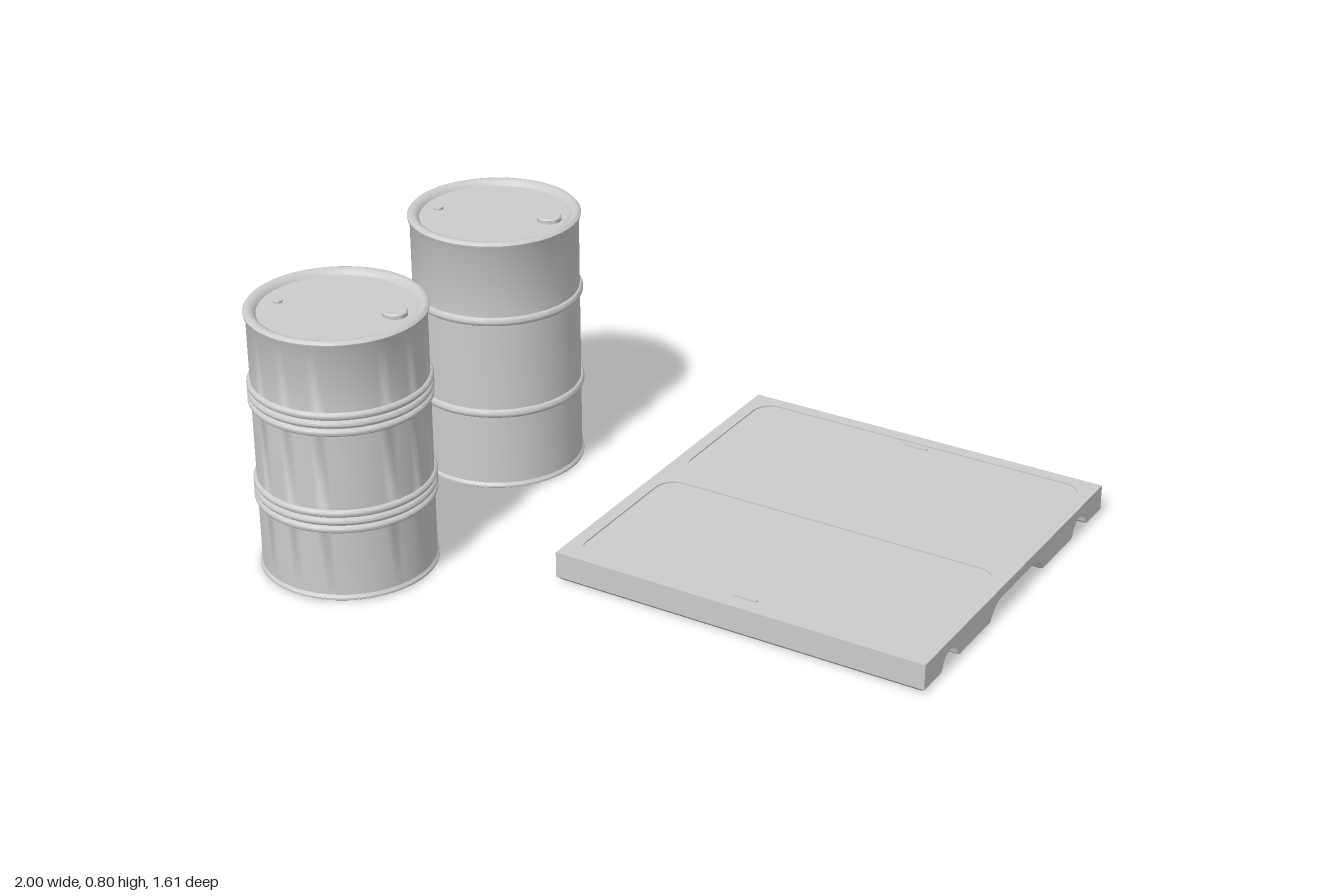
import * as THREE from 'three';
import { toCreasedNormals } from 'three/addons/utils/BufferGeometryUtils.js';

const material = new THREE.MeshStandardMaterial({ color: 0xcccccc, side: THREE.DoubleSide });
const DECK = { x: 0.42, z: -0.23, half: 0.58, top: 0.09 };

function add(parent, name, geometry, x = 0, y = 0, z = 0) {
  const mesh = new THREE.Mesh(toCreasedNormals(geometry, 0.6), material);
  mesh.name = name;
  mesh.position.set(x, y, z);
  parent.add(mesh);
  return mesh;
}

// Drum: one lathe profile from bottom centre to lid centre, ribs as half rounds
function createDrum(name, ribs, ribRadius, ribOut) {
  const drum = new THREE.Group();
  drum.name = name;
  const R = 0.25;
  const pts = [[0, 0.018], [0.222, 0.018], [0.228, 0.006], [0.236, 0], [0.25, 0],
    [0.256, 0.004], [0.256, 0.01], [R, 0.018]];
  for (const y of ribs) {
    for (let i = 0; i <= 8; i++) {
      const a = -Math.PI / 2 + (i / 8) * Math.PI;
      pts.push([R + Math.cos(a) * ribOut, y + Math.sin(a) * ribRadius]);
    }
  }
  pts.push([R, 0.775], [0.256, 0.785], [0.257, 0.792], [0.252, 0.798], [0.245, 0.8],
    [0.235, 0.798], [0.226, 0.792], [0.221, 0.784], [0, 0.784]);
  add(drum, 'drumShell', new THREE.LatheGeometry(pts.map(p => new THREE.Vector2(...p)), 64));

  // Filler cap and vent cap on the lid
  const cap = (r, h) => new THREE.LatheGeometry(
    [[r, 0], [r, h * 0.75], [r * 0.9, h], [0, h]].map(p => new THREE.Vector2(...p)), 32);
  add(drum, 'fillerCap', cap(0.036, 0.014), 0.162, 0.784, -0.05);
  add(drum, 'ventCap', cap(0.014, 0.008), -0.165, 0.784, 0.05);
  return drum;
}

function roundedRect(path, x0, y0, x1, y1, r) {
  path.moveTo(x0 + r, y0);
  path.lineTo(x1 - r, y0);
  path.absarc(x1 - r, y0 + r, r, -Math.PI / 2, 0);
  path.lineTo(x1, y1 - r);
  path.absarc(x1 - r, y1 - r, r, 0, Math.PI / 2);
  path.lineTo(x0 + r, y1);
  path.absarc(x0 + r, y1 - r, r, Math.PI / 2, Math.PI);
  path.lineTo(x0, y0 + r);
  path.absarc(x0 + r, y0 + r, r, Math.PI, Math.PI * 1.5);
  return path;
}

function createPallet() {
  const pallet = new THREE.Group();
  pallet.name = 'pallet';
  pallet.position.set(DECK.x, 0, DECK.z);
  const H = DECK.half, base = 0.012, floor = DECK.top - 0.004;

  // Body: side profile with two small arches and one wide arch, drawn along the width
  const s = new THREE.Shape();
  s.moveTo(-H, floor);
  s.lineTo(-H, base);
  const smallArch = c => {
    s.lineTo(c - 0.062, base);
    s.quadraticCurveTo(c - 0.05, base, c - 0.047, 0.024);
    s.absellipse(c, 0.022, 0.046, 0.036, Math.PI, 0, true);
    s.quadraticCurveTo(c + 0.05, base, c + 0.062, base);
  };
  smallArch(-0.425);
  s.lineTo(-0.175, base);
  s.bezierCurveTo(-0.16, 0.035, -0.14, 0.058, -0.1, 0.058);
  s.lineTo(0.1, 0.058);
  s.bezierCurveTo(0.14, 0.058, 0.16, 0.035, 0.175, base);
  smallArch(0.425);
  s.lineTo(H, base);
  s.lineTo(H, floor);
  const body = new THREE.ExtrudeGeometry(s, { depth: 2 * H, bevelEnabled: false, curveSegments: 14 });
  body.translate(0, 0, -H).rotateY(Math.PI / 2);
  add(pallet, 'palletBody', body);

  // Runners below the body, tapering to a smaller footprint
  for (const [z0, z1] of [[-H, -0.487], [-0.363, -0.175], [0.175, 0.363], [0.487, H]]) {
    const runner = new THREE.BoxGeometry(2 * H, base, z1 - z0);
    const p = runner.attributes.position;
    for (let i = 0; i < p.count; i++) {
      if (p.getY(i) > 0) continue;
      p.setX(i, p.getX(i) - Math.sign(p.getX(i)) * 0.016);
      p.setZ(i, p.getZ(i) - Math.sign(p.getZ(i)) * 0.012);
    }
    add(pallet, 'runner', runner, 0, base / 2, (z0 + z1) / 2);
  }

  // Raised deck border around two sunken rounded trays
  const border = new THREE.Shape([[-H, -H], [H, -H], [H, H], [-H, H]].map(p => new THREE.Vector2(...p)));
  border.holes.push(
    roundedRect(new THREE.Path(), -0.54, -0.54, 0.54, -0.04, 0.06),
    roundedRect(new THREE.Path(), -0.54, 0.04, 0.54, 0.54, 0.06));
  const rim = new THREE.ExtrudeGeometry(border, { depth: 0.004, bevelEnabled: false, curveSegments: 10 });
  add(pallet, 'deckBorder', rim.rotateX(-Math.PI / 2), 0, floor, 0);

  // Small tabs at the outer edge of each tray
  for (const side of [-1, 1]) {
    add(pallet, 'trayTab', new THREE.BoxGeometry(0.075, 0.004, 0.008), 0, floor + 0.002, side * 0.52);
  }
  return pallet;
}

export function createModel() {
  const model = new THREE.Group();
  model.name = 'drumsAndPallet';

  const front = createDrum('tripleRibDrum',
    [0.227, 0.252, 0.277, 0.527, 0.552, 0.577], 0.011, 0.01);
  front.position.set(-0.74, 0, 0.54);
  const back = createDrum('singleRibDrum', [0.25, 0.55], 0.013, 0.01);
  back.position.set(-0.74, 0, -0.23);

  model.add(front, back, createPallet());
  return model;
}
